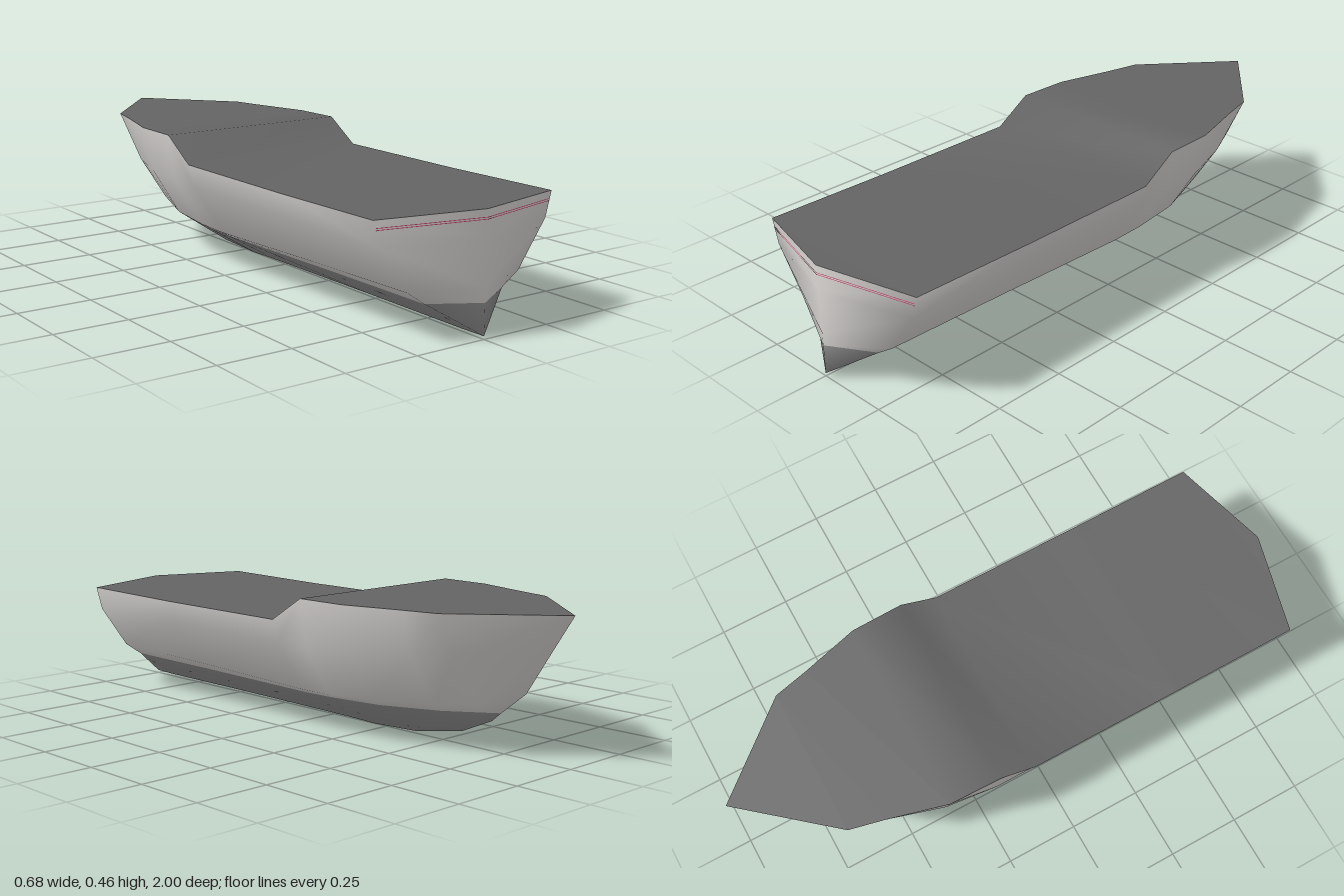
import * as THREE from 'three';
import { mergeVertices } from 'three/addons/utils/BufferGeometryUtils.js';

// Stations from stern to bow: z, deck [x, y], bilge [x, y], chine [x, y], keel y, waterline y
const STATIONS = [
  [0.91, 0.342, 0.382, 0.32, 0.30, 0.216, 0.154, 0.008, 0.11],
  [0.47, 0.342, 0.377, 0.32, 0.30, 0.216, 0.145, 0.007, 0.112],
  [-0.07, 0.342, 0.377, 0.32, 0.30, 0.216, 0.13, 0.003, 0.115],
  [-0.2, 0.342, 0.458, 0.32, 0.30, 0.213, 0.131, 0, 0.118],
  [-0.38, 0.338, 0.458, 0.30, 0.30, 0.2, 0.14, 0.007, 0.12],
  [-0.58, 0.284, 0.458, 0.24, 0.305, 0.14, 0.152, 0.042, 0.124],
  [-0.7, 0.256, 0.458, 0.19, 0.315, 0.08, 0.16, 0.095, 0.128],
];

// Half sections as points from deck edge down to keel
function halfSections() {
  const mid = STATIONS.map(([z, dx, dy, bx, by, cx, cy, ky, wy]) => {
    const wx = cx * (wy - ky) / (cy - ky);
    return [[dx, dy, z], [bx, by, z], [cx, cy, z], [wx, wy, z], [0, ky, z]];
  });
  const sternPost = [0.387, 0.30, 0.154, 0.11, 0.01].map((y) => [0, y, 1]);
  const stem = [[0, 0.458, -1], [0, 0.33, -0.915], [0, 0.2, -0.83], [0, 0.125, -0.735], [0, 0.125, -0.735]];
  return [sternPost, ...mid, stem];
}

function smoothGeometry(positions, index) {
  const geometry = new THREE.BufferGeometry();
  geometry.setAttribute('position', new THREE.Float32BufferAttribute(positions, 3));
  geometry.setIndex(index);
  return geometry;
}

// Lofted hull skin, with the bottom paint as a second material group
function hullGeometry(halves) {
  const positions = [];
  for (const half of halves) {
    const mirrored = half.slice(0, 4).reverse().map(([x, y, z]) => [-x, y, z]);
    positions.push(...half.flat(), ...mirrored.flat());
  }
  const top = [], bottom = [];
  for (let i = 0; i < halves.length - 1; i++) {
    for (let j = 0; j < 8; j++) {
      const a = i * 9 + j, b = a + 1, c = a + 9, d = a + 10;
      // Mirror the diagonal so both sides match
      const quad = j < 4 ? [a, b, c, b, d, c] : [a, b, d, a, d, c];
      (j < 3 || j > 4 ? top : bottom).push(...quad);
    }
  }
  const geometry = mergeVertices(smoothGeometry(positions, [...top, ...bottom]), 1e-5);
  geometry.addGroup(0, top.length, 0);
  geometry.addGroup(top.length, bottom.length, 1);
  geometry.computeVertexNormals();
  return geometry;
}

// Deck spans the two sheer lines
function deckGeometry(halves) {
  const positions = [], index = [];
  halves.forEach(([[x, y, z]], i) => {
    positions.push(x, y, z, -x, y, z);
    if (i < halves.length - 1) {
      const a = i * 2;
      index.push(a, a + 2, a + 1, a + 1, a + 2, a + 3);
    }
  });
  const geometry = smoothGeometry(positions, index);
  geometry.computeVertexNormals();
  return geometry;
}

// Hairline stripe across the V of the transom
function stripeGeometry(y) {
  const h = 0.001, w = 0.333, e = 0.002;
  const positions = [
    -w, y - 0.005 - h, 0.91 + e, -w, y - 0.005 + h, 0.91 + e,
    0, y - h, 1 + e, 0, y + h, 1 + e,
    w, y - 0.005 - h, 0.91 + e, w, y - 0.005 + h, 0.91 + e,
  ];
  const geometry = smoothGeometry(positions, [0, 2, 1, 1, 2, 3, 2, 4, 3, 3, 4, 5]);
  geometry.computeVertexNormals();
  return geometry;
}

export function createModel() {
  const make = (name, color) => {
    const material = new THREE.MeshStandardMaterial({ color });
    material.name = name;
    return material;
  };
  const hullGrey = make('hull light grey', 0xdedbd8);
  const bottomGrey = make('bottom mid grey', 0x989898);
  const deckGrey = make('deck grey', 0x646464);
  const red = make('stripe red', 0xd03a68);

  const group = new THREE.Group();
  group.name = 'boatHull';
  const add = (name, geometry, material) => {
    const mesh = new THREE.Mesh(geometry, material);
    mesh.name = name;
    group.add(mesh);
  };
  const halves = halfSections();
  add('hull', hullGeometry(halves), [hullGrey, bottomGrey]);
  add('deck', deckGeometry(halves), deckGrey);
  add('upperTransomStripe', stripeGeometry(0.363), red);
  add('lowerTransomStripe', stripeGeometry(0.357), red);
  return group;
}
